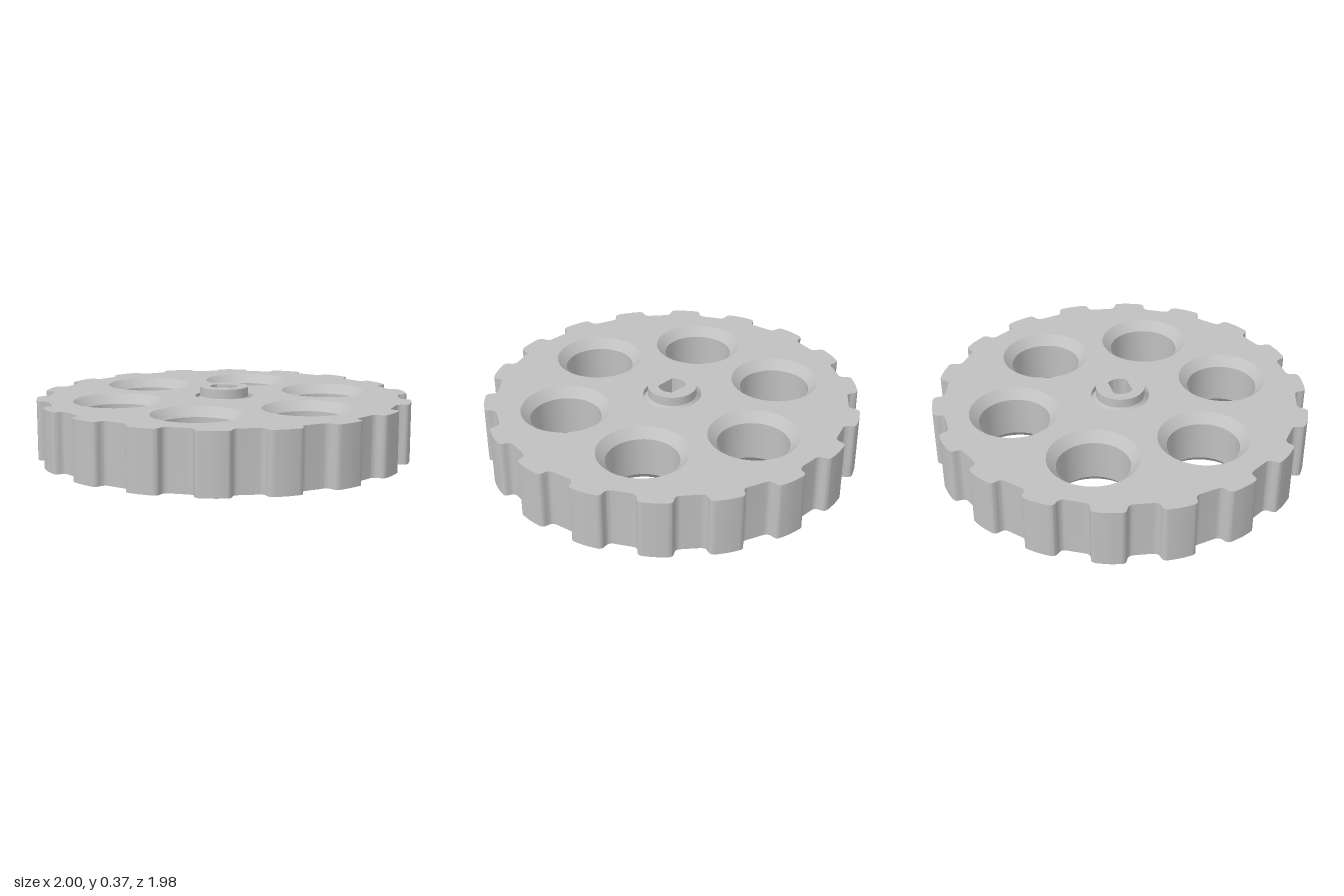
import * as THREE from 'three';
import { toCreasedNormals } from 'three/addons/utils/BufferGeometryUtils.js';

const TOP = 0.315, HUB_TOP = 0.365, CHAMFER = 0.05;
const HOLE_R = 0.187, RIM_R = 0.235, GROOVE_R = 0.155, HUB_R = 0.13;
const SLOT_FLOOR = 0.22, CEILING = 0.155;

const polar = (r, deg) => {
  const a = THREE.MathUtils.degToRad(deg);
  return new THREE.Vector2(r * Math.cos(a), r * Math.sin(a));
};

// Rounds every corner of a closed polygon
function roundCorners(corners, radius) {
  const out = [];
  corners.forEach((c, i) => {
    const toward = (q) => c.clone().add(q.clone().sub(c).setLength(radius));
    const n = corners.length;
    const curve = new THREE.QuadraticBezierCurve(
      toward(corners[(i + n - 1) % n]), c, toward(corners[(i + 1) % n]));
    out.push(...curve.getPoints(6));
  });
  return out;
}

function circlePath(x, y, r) {
  const p = new THREE.Path();
  p.absarc(x, y, r, 0, Math.PI * 2, false);
  return p;
}

// Flat horizontal face with holes, facing up or down
function face(points, holes, y, down = false) {
  const shape = new THREE.Shape(points);
  shape.holes.push(...holes);
  const g = new THREE.ShapeGeometry(shape, 32);
  g.rotateX(down ? Math.PI / 2 : -Math.PI / 2);
  return g.translate(0, y, 0);
}

// Vertical wall along a closed outline; reverse the outline to face inward
function wall(points, y0, y1) {
  const pos = [], idx = [], n = points.length;
  points.forEach((p, i) => {
    pos.push(p.x, y0, -p.y, p.x, y1, -p.y);
    const a = 2 * i, b = 2 * ((i + 1) % n);
    idx.push(a, b, b + 1, a, b + 1, a + 1);
  });
  const g = new THREE.BufferGeometry();
  g.setAttribute('position', new THREE.Float32BufferAttribute(pos, 3));
  g.setIndex(idx);
  return toCreasedNormals(g, 0.6);
}

function lathe(profile) {
  const g = new THREE.LatheGeometry(profile.map(([r, y]) => new THREE.Vector2(r, y)), 64);
  return toCreasedNormals(g, 0.5);
}

export function createModel() {
  const group = new THREE.Group();
  const grey = new THREE.MeshStandardMaterial({ color: 0xc0c0c0 });
  grey.name = 'grey';
  const add = (name, geometry, x = 0, z = 0) => {
    const mesh = new THREE.Mesh(geometry, grey);
    mesh.name = name;
    mesh.position.set(x, 0, z);
    group.add(mesh);
  };

  // Outline of eighteen rounded teeth
  const corners = [];
  for (let i = 0; i < 18; i++) {
    const a = i * 20;
    corners.push(polar(0.938, a - 5.5), polar(0.997, a - 4.9), polar(1, a),
      polar(0.997, a + 4.9), polar(0.938, a + 5.5));
  }
  const outline = roundCorners(corners, 0.026);

  // Plate faces and toothed rim
  const centers = [];
  for (let i = 0; i < 6; i++) centers.push(polar(0.58, 30 + i * 60));
  const rims = () => centers.map((c) => circlePath(c.x, c.y, RIM_R));
  add('plateTop', face(outline, [...rims(), circlePath(0, 0, GROOVE_R)], TOP));
  add('plateBottom', face(outline, [...rims(), circlePath(0, 0, RIM_R)], 0, true));
  add('toothedRim', wall(outline, 0, TOP));

  // Six through holes, chamfered on both sides
  const bore = lathe([[RIM_R, TOP], [HOLE_R, TOP - CHAMFER], [HOLE_R, CHAMFER], [RIM_R, 0]]);
  centers.forEach((c) => add('throughHole', bore, c.x, -c.y));

  // Blind bore under the hub
  add('hubBore', lathe([[0, CEILING], [HOLE_R, CEILING], [HOLE_R, CHAMFER], [RIM_R, 0]]));

  // Hub rising from a tapered groove
  add('hubSide', lathe([[GROOVE_R, TOP], [GROOVE_R, TOP - 0.03], [HUB_R, TOP], [HUB_R, HUB_TOP]]));

  // Flat-sided slot in the hub with a pilot hole
  const slot = [];
  const half = Math.asin(0.052 / 0.074) * 180 / Math.PI;
  for (const mid of [0, 180]) {
    for (let i = 0; i <= 12; i++) slot.push(polar(0.074, mid - half + (2 * half * i) / 12));
  }
  const hubEdge = circlePath(0, 0, HUB_R).getPoints(32).slice(0, -1);
  add('hubTop', face(hubEdge, [new THREE.Path(slot)], HUB_TOP));
  add('slotWall', wall([...slot].reverse(), SLOT_FLOOR, HUB_TOP));
  add('slotFloor', face(slot, [circlePath(0, 0, 0.035)], SLOT_FLOOR));
  add('pilotHole', lathe([[0.035, SLOT_FLOOR], [0.035, 0.17], [0, 0.17]]));

  return group;
}
